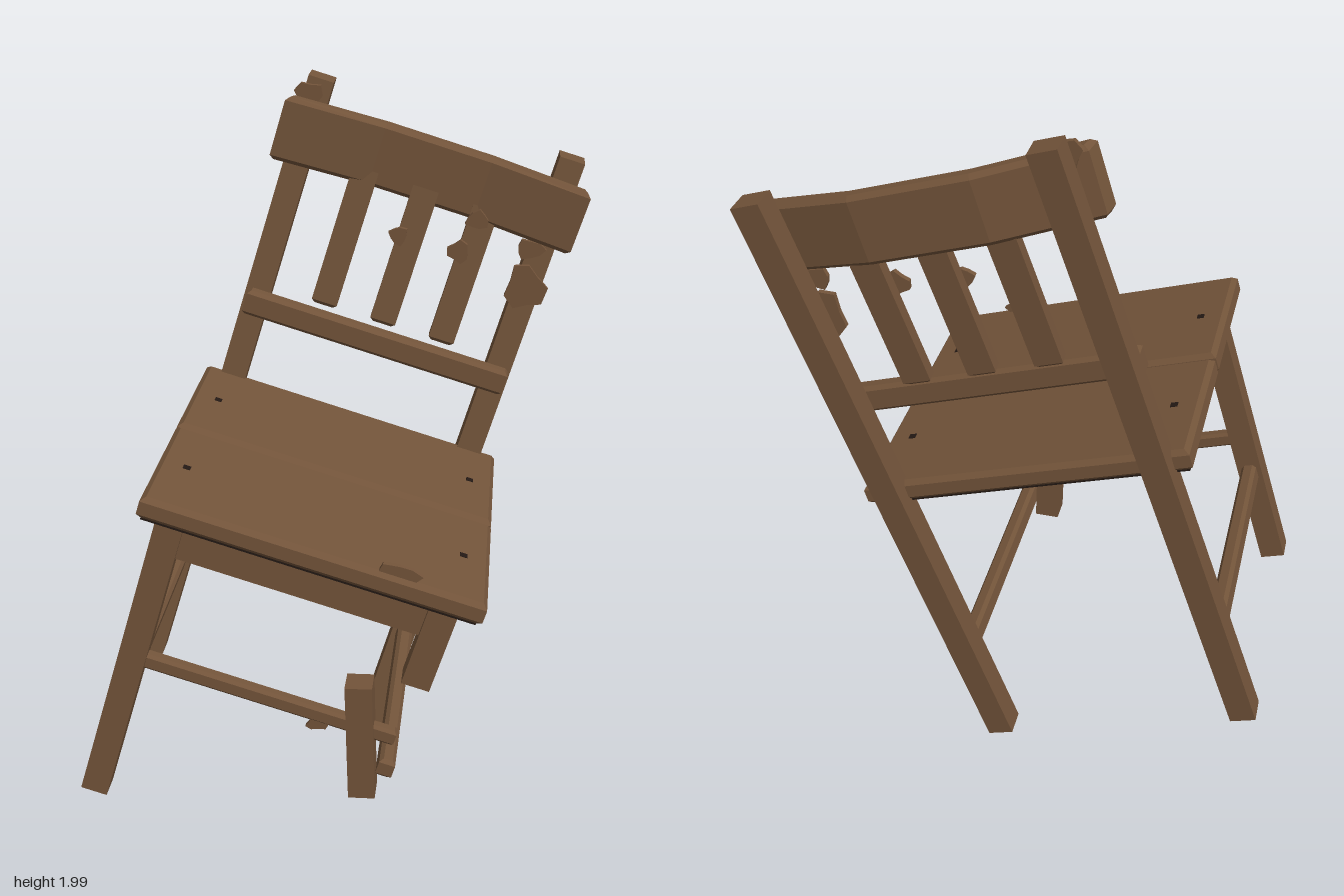
import * as THREE from 'three';

const wood = new THREE.MeshStandardMaterial({ color: 0x73543a });
wood.name = 'brown wood';
const dark = new THREE.MeshStandardMaterial({ color: 0x231914 });
dark.name = 'dark wood';

function add(parent, name, geometry, material = wood, x = 0, y = 0, z = 0) {
  const mesh = new THREE.Mesh(geometry, material);
  mesh.name = name;
  mesh.position.set(x, y, z);
  parent.add(mesh);
  return mesh;
}

// Prism standing on y = 0 with chamfered top and bottom rims; outline points are [x, z]
function chamferedPrism(points, height, b) {
  const shape = new THREE.Shape(points.map(([x, z]) => new THREE.Vector2(x, -z)));
  const g = new THREE.ExtrudeGeometry(shape, {
    depth: height - 2 * b, bevelEnabled: true, bevelThickness: b,
    bevelSize: b, bevelOffset: -b, bevelSegments: 1,
  });
  return g.translate(0, 0, b).rotateX(-Math.PI / 2);
}

// Centred chamfered box
function chamferedBox(w, h, d, b = 0.01) {
  const p = [[-w / 2, d / 2], [w / 2, d / 2], [w / 2, -d / 2], [-w / 2, -d / 2]];
  return chamferedPrism(p, h, b).translate(0, -h / 2, 0);
}

// Thin ragged chip of wood
function chip(rx, ry, seed) {
  const pts = [];
  for (let i = 0; i < 9; i++) {
    const a = (i / 9) * Math.PI * 2;
    const r = 0.86 + 0.18 * Math.sin(seed * 7.3 + i * 4.1);
    pts.push(new THREE.Vector2(Math.cos(a) * rx * r, Math.sin(a) * ry * r));
  }
  return new THREE.ExtrudeGeometry(new THREE.Shape(pts), { depth: 0.014, bevelEnabled: false });
}

export function createModel() {
  const model = new THREE.Group();
  model.name = 'brokenChair';

  // The chair leans sideways as a whole
  const chair = new THREE.Group();
  chair.name = 'tiltedChair';
  chair.position.set(-0.272, 0.119, 0);
  chair.rotation.z = -0.29;
  model.add(chair);

  const legX = 0.367, lean = -0.105;

  for (const side of [-1, 1]) {
    const label = side > 0 ? 'left' : 'right';
    // Back legs rise into the backrest and lean backwards
    const post = new THREE.BoxGeometry(0.073, 1.84, 0.076).translate(0, 0.92, 0);
    post.applyMatrix4(new THREE.Matrix4().makeShear(0, 0, 0, lean, 0, 0));
    add(chair, label + 'BackLeg', post, wood, side * legX, 0, -0.297);

    // Side stretchers
    add(chair, label + 'Stretcher', chamferedBox(0.045, 0.056, 0.73), wood, side * legX, 0.327, 0.07);
  }

  // Whole front leg, and the stub of the snapped one
  add(chair, 'rightFrontLeg', new THREE.BoxGeometry(0.073, 0.89, 0.072), wood, -legX, 0.445, 0.44);
  add(chair, 'brokenLegStub', new THREE.BoxGeometry(0.076, 0.26, 0.072), wood, legX - 0.01, 0.76, 0.44);

  // Loose lower piece of the snapped leg
  const piece = add(model, 'brokenLegPiece', new THREE.BoxGeometry(0.072, 0.345, 0.074), wood, 0.108, 0.432, 0.438);
  piece.rotation.z = 0.03;

  // Front stretcher and apron
  add(chair, 'frontStretcher', chamferedBox(0.7, 0.045, 0.036, 0.008), wood, 0.01, 0.443, 0.44);
  add(chair, 'frontApron', new THREE.BoxGeometry(0.7, 0.115, 0.04), wood, 0, 0.83, 0.44);

  // Seat of two planks with a dark underside and peg heads
  for (const [name, z0, z1] of [['frontPlank', 0.075, 0.525], ['backPlank', -0.385, 0.062]]) {
    add(chair, name, chamferedBox(0.9, 0.062, z1 - z0, 0.013), wood, 0, 0.917, (z0 + z1) / 2);
  }
  add(chair, 'seatUnderside', new THREE.BoxGeometry(0.875, 0.006, 0.885), dark, 0, 0.884, 0.07);
  for (const x of [-0.376, 0.376]) {
    for (const z of [-0.16, 0.3]) {
      add(chair, 'seatPeg', new THREE.BoxGeometry(0.02, 0.005, 0.02), dark, x, 0.947, z);
    }
  }

  // Lower back rail
  add(chair, 'lowerBackRail', chamferedBox(0.785, 0.074, 0.046), wood, 0, 1.195, -0.34);

  // Bent top rail in three straight runs
  const front = [[-0.44, -0.355], [-0.155, -0.402], [0.155, -0.402], [0.44, -0.355]];
  const back = [[0.43, -0.405], [0.155, -0.453], [-0.155, -0.453], [-0.43, -0.405]];
  add(chair, 'topRail', chamferedPrism([...front, ...back], 0.182, 0.012), wood, 0, 1.606, 0);

  // Back slats
  for (const x of [-0.174, 0.003, 0.18]) {
    const slat = add(chair, 'backSlat', chamferedBox(0.075, 0.44, 0.036), wood, x, 1.459, -0.4);
    slat.rotation.x = lean;
  }

  // Splintered chips: position, radii
  const chips = [
    [0.49, 1.425, -0.395, 0.065, 0.075], [0.5, 1.535, -0.405, 0.045, 0.032],
    [-0.13, 1.945, -0.44, 0.045, 0.045], [0.13, 1.57, -0.382, 0.03, 0.03],
    [0.3, 1.53, -0.378, 0.036, 0.036], [0.35, 1.62, -0.388, 0.036, 0.03],
    [-0.01, 0.472, 0.44, 0.032, 0.02], [0.2, 0.965, 0.5, 0.065, 0.037],
  ];
  chips.forEach(([x, y, z, rx, ry], i) => add(model, 'woodChip', chip(rx, ry, i + 1), wood, x, y, z));

  return model;
}
